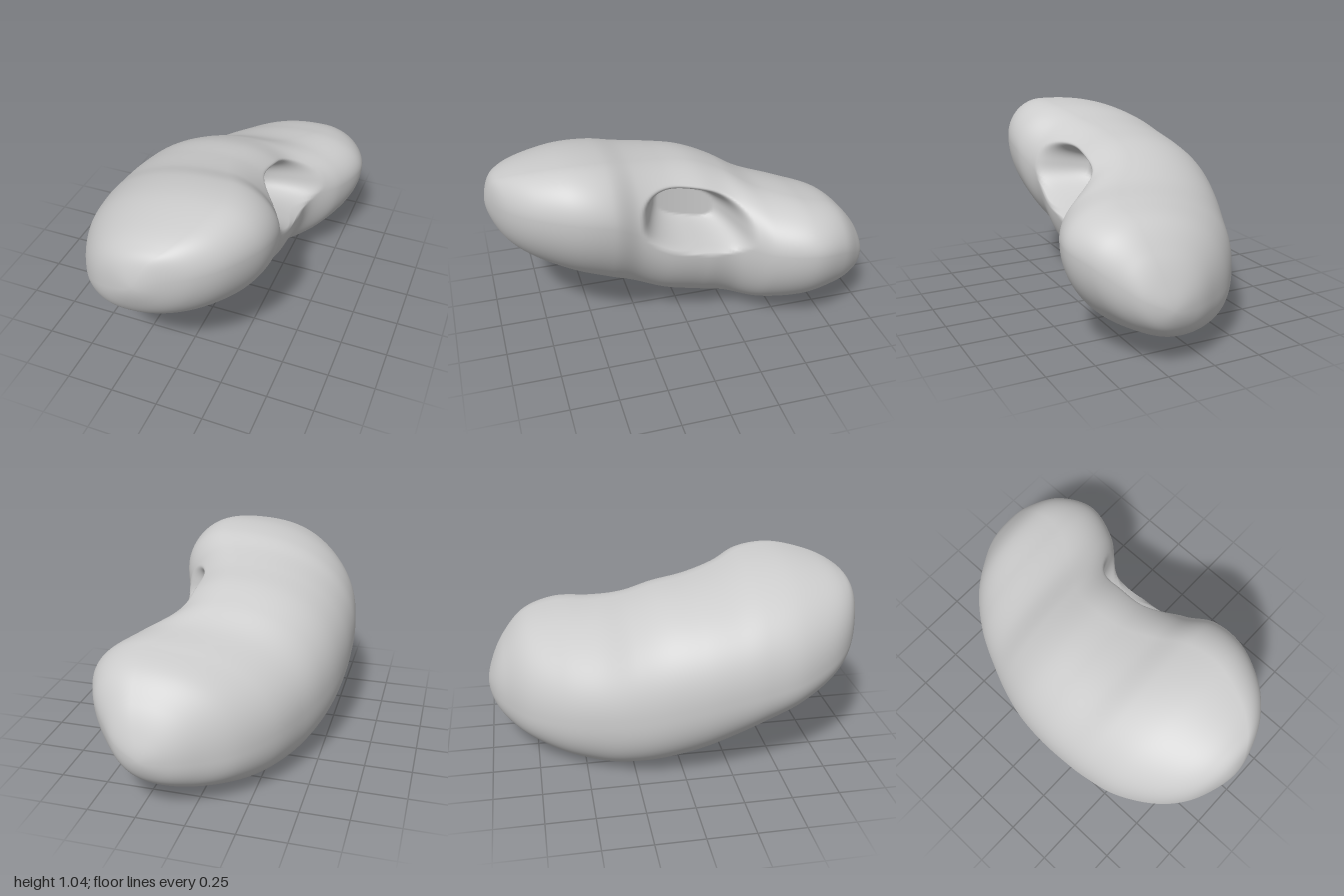
import * as THREE from 'three';
import { mergeVertices } from 'three/addons/utils/BufferGeometryUtils.js';

// Cross-sections from front to back: z, then x,y of the left, top, right and bottom extremes
const pole = (z, x, y) => [z, x, y, x, y, x, y, x, y];
const SECTIONS = [
  pole(1, -0.08, 0.76),
  [0.97, -0.21, 0.70, -0.01, 0.90, 0.06, 0.81, -0.13, 0.63],
  [0.90, -0.34, 0.64, 0.07, 0.965, 0.20, 0.83, -0.18, 0.51],
  [0.78, -0.45, 0.58, 0.14, 1.01, 0.32, 0.84, -0.20, 0.41],
  [0.60, -0.54, 0.53, 0.19, 1.04, 0.41, 0.83, -0.21, 0.31],
  [0.42, -0.575, 0.50, 0.17, 1.025, 0.425, 0.79, -0.21, 0.23],
  [0.27, -0.585, 0.48, 0.10, 0.975, 0.375, 0.69, -0.21, 0.16],
  [0.10, -0.583, 0.45, 0.04, 0.935, 0.375, 0.59, -0.20, 0.09],
  [-0.08, -0.56, 0.41, 0.03, 0.90, 0.375, 0.56, -0.19, 0.04],
  [-0.24, -0.515, 0.37, 0.06, 0.84, 0.39, 0.54, -0.17, 0.01],
  [-0.40, -0.45, 0.34, 0.18, 0.77, 0.52, 0.54, -0.13, 0],
  [-0.60, -0.35, 0.31, 0.30, 0.735, 0.585, 0.54, -0.06, 0.03],
  [-0.78, -0.21, 0.29, 0.30, 0.68, 0.53, 0.50, 0.04, 0.085],
  [-0.90, -0.05, 0.29, 0.28, 0.56, 0.43, 0.42, 0.13, 0.14],
  [-0.97, 0.08, 0.30, 0.25, 0.43, 0.34, 0.36, 0.19, 0.21],
  pole(-1, 0.22, 0.31),
];

// Smooth interpolation between sections; z is mirrored past the poles so the ends are round
function sectionAt(t) {
  const last = SECTIONS.length - 1;
  const i = Math.min(Math.floor(t), last - 1), f = t - i;
  const p1 = SECTIONS[i], p2 = SECTIONS[i + 1];
  const ghost = (p, q) => p.map((v, k) => (k === 0 ? q[0] : 2 * v - q[k]));
  const p0 = i > 0 ? SECTIONS[i - 1] : ghost(p1, p2);
  const p3 = i + 2 <= last ? SECTIONS[i + 2] : ghost(p2, p1);
  return p1.map((b, k) => {
    const a = p0[k], c = p2[k], d = p3[k];
    return b + 0.5 * f * (c - a + f * (2 * a - 5 * b + 4 * c - d + f * (3 * (b - c) + d - a)));
  });
}

// Depth (0 to 1) of the hollow, a tilted rounded rectangle on the inner side
function hollow(y, z) {
  const u = Math.abs(z + 0.02) / 0.28, v = Math.abs(y - 0.7 - 0.23 * z) / 0.155;
  const r = Math.pow(u ** 2.6 + v ** 2.6, 1 / 2.6);
  return 1 - THREE.MathUtils.smoothstep(r, 0.55, 1.05);
}

function kidneyGeometry(rings = 160, sides = 200) {
  const pos = [], index = [];
  for (let i = 0; i <= rings; i++) {
    const [z, lx, ly, tx, ty, rx, ry, bx, by] = sectionAt((i / rings) * (SECTIONS.length - 1));
    for (let j = 0; j < sides; j++) {
      // Four quarter ovals joined at the extremes, the left ones slightly squarer
      const a = (j / sides) * Math.PI * 2, c = Math.cos(a), s = Math.sin(a);
      const e = c >= 0 ? 1 : 0.88;
      const cx = s >= 0 ? tx : bx, cy = c >= 0 ? ry : ly;
      let x = cx + Math.abs(c) ** e * ((c >= 0 ? rx : lx) - cx);
      const y = cy + Math.abs(s) ** e * ((s >= 0 ? ty : by) - cy);
      if (c > 0) x += (Math.min(x, 0.1 + 0.5 * z * z) - x) * hollow(y, z);
      pos.push(x, y, z);
      if (i < rings) {
        const k = (j + 1) % sides, p = i * sides, q = p + sides;
        if (i < rings - 1) index.push(p + j, q + j, q + k);
        else index.push(p + j, q + j, p + k);
        if (i > 0 && i < rings - 1) index.push(p + j, q + k, p + k);
      }
    }
  }
  let g = new THREE.BufferGeometry();
  g.setAttribute('position', new THREE.Float32BufferAttribute(pos, 3));
  g.setIndex(index);
  g = mergeVertices(g, 1e-5);
  g.computeVertexNormals();
  return g;
}

export function createModel() {
  const model = new THREE.Group();
  model.name = 'kidney';
  const grey = new THREE.MeshStandardMaterial({ color: 0xcccccc });
  grey.name = 'light grey';
  const body = new THREE.Mesh(kidneyGeometry(), grey);
  body.name = 'kidneyBody';
  model.add(body);
  return model;
}
